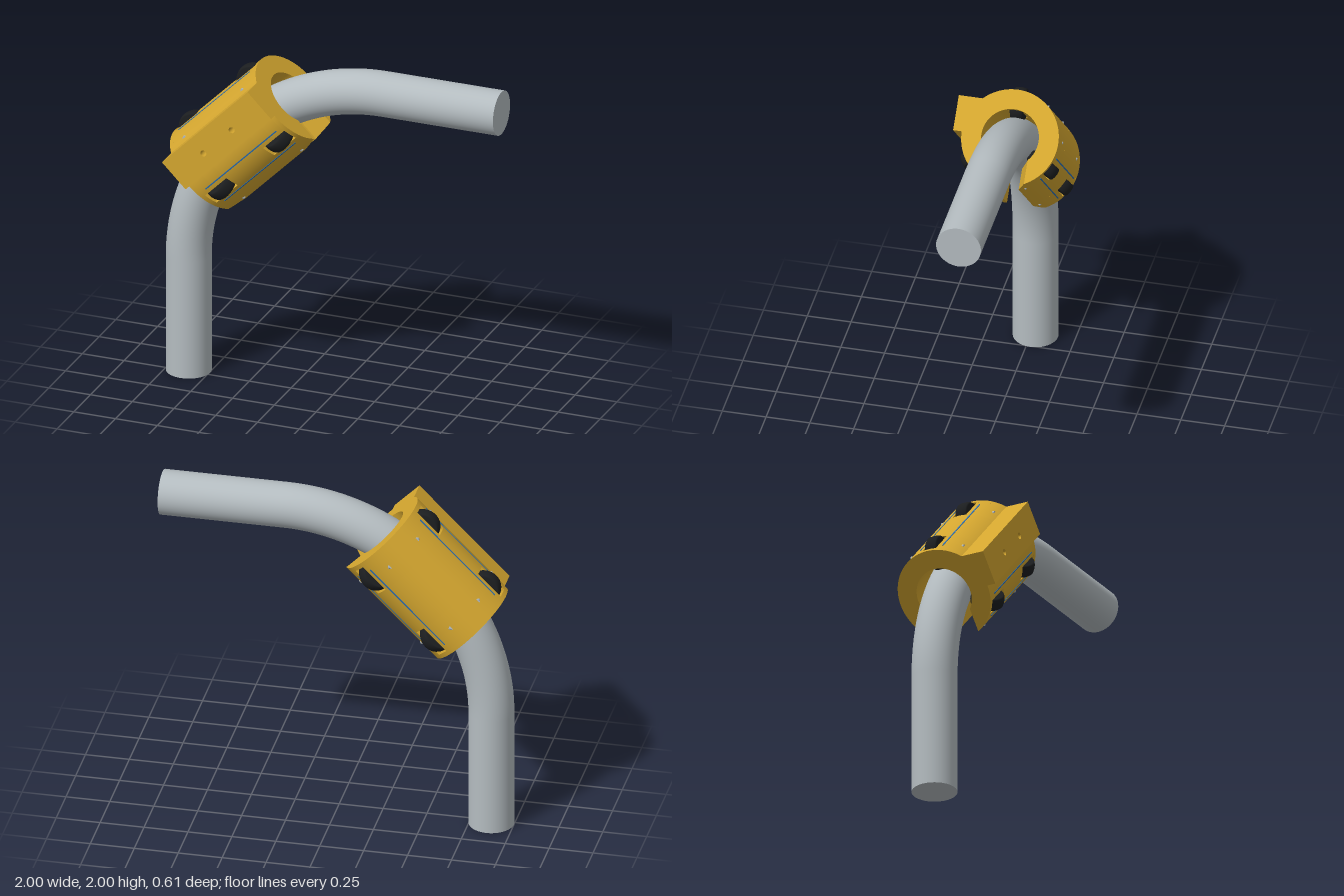
import * as THREE from 'three';

const mat = (name, color) => Object.assign(new THREE.MeshStandardMaterial({ color }), { name });

export function createModel() {
  const gold = mat('gold housing', 0xd4a62f);
  const steel = mat('grey steel', 0xb4bcc0);
  const rubber = mat('black rubber', 0x1c1e20);
  const blue = mat('blue line', 0x2a70b8);

  const model = new THREE.Group();
  const add = (parent, name, geo, material, x = 0, y = 0, z = 0) => {
    const mesh = new THREE.Mesh(geo, material);
    mesh.name = name;
    mesh.position.set(x, y, z);
    parent.add(mesh);
    return mesh;
  };

  // Bent pipe: upright run, quarter bend, level run
  const pipe = new THREE.Group();
  pipe.name = 'pipe';
  pipe.position.z = -0.025;
  model.add(pipe);
  const R = 0.128, BEND = 1.172;
  add(pipe, 'uprightPipe', new THREE.CylinderGeometry(R, R, 0.7, 48), steel, 0.3 - BEND, 0.35);
  add(pipe, 'pipeBend', new THREE.TorusGeometry(BEND, R, 48, 64, Math.PI / 2).rotateZ(Math.PI / 2), steel, 0.3, 0.7);
  add(pipe, 'levelPipe', new THREE.CylinderGeometry(R, R, 0.7, 48).rotateZ(Math.PI / 2), steel, 0.65, 0.7 + BEND);

  // Carriage frame: local x runs along the pipe, local y points out of the bend
  const carriage = new THREE.Group();
  carriage.name = 'carriage';
  carriage.position.set(-0.505, 1.505, -0.025);
  carriage.rotation.z = Math.PI / 4;
  model.add(carriage);

  const INNER = 0.163, OUTER = 0.275, HALF = 0.3625;
  const WINDOW = 0.042, THIRD = Math.PI * 2 / 3, WHEEL_X = 0.245;

  // Half width of the lengthwise slot, flared towards both ends
  const slotHalf = x => 0.075 + 0.045 * Math.max(0, (Math.abs(x) - 0.25) / (HALF - 0.25));

  // Curved wall piece between two edges; each edge is an angle with a parallel offset
  function wallPiece(x0, x1, [a0, off0], [a1, off1]) {
    const n = Math.max(6, Math.ceil((a1 - a0) / 0.06));
    const geo = new THREE.BoxGeometry(1, 1, 1, 1, 1, n);
    const p = geo.attributes.position;
    for (let i = 0; i < p.count; i++) {
      const x = x0 + (x1 - x0) * (p.getX(i) + 0.5);
      const r = INNER + (OUTER - INNER) * (p.getY(i) + 0.5);
      const from = a0 + Math.asin(off0(x) / r), to = a1 - Math.asin(off1(x) / r);
      const a = from + (to - from) * (p.getZ(i) + 0.5);
      p.setXYZ(i, x, r * Math.cos(a), r * Math.sin(a));
    }
    geo.computeVertexNormals();
    return geo;
  }

  // Housing shell in slabs, with three wheel windows in each half
  const win = () => WINDOW;
  const slotA = [-Math.PI, slotHalf], slotB = [Math.PI, slotHalf];
  const edges = [slotA, [-THIRD, win], [0, win], [THIRD, win], slotB];
  const cuts = [-HALF, -0.335, -0.25, -0.155, 0.155, 0.25, 0.335, HALF];
  for (let i = 0; i < cuts.length - 1; i++) {
    const mid = Math.abs(cuts[i] + cuts[i + 1]) / 2;
    const bounds = mid > 0.155 && mid < 0.335 ? edges : [slotA, slotB];
    for (let k = 0; k < bounds.length - 1; k++) {
      add(carriage, 'housingWall', wallPiece(cuts[i], cuts[i + 1], bounds[k], bounds[k + 1]), gold);
    }
  }

  // Mounting block with two bolt holes
  const face = new THREE.Shape([
    new THREE.Vector2(-HALF, 0), new THREE.Vector2(HALF, 0),
    new THREE.Vector2(HALF, 0.2), new THREE.Vector2(-HALF, 0.2)]);
  for (const x of [-0.12, 0.12]) {
    face.holes.push(new THREE.Path().absarc(x, 0.092, 0.018, 0, Math.PI * 2, true));
  }
  add(carriage, 'mountingBlock',
    new THREE.ExtrudeGeometry(face, { depth: 0.145, bevelEnabled: false, curveSegments: 16 }), gold, 0, 0, 0.18);

  // Wheels, axles and guide lines, repeated every third of a turn
  const tyre = new THREE.LatheGeometry([
    [0, -0.037], [0.084, -0.037], [0.091, -0.03], [0.095, -0.012],
    [0.095, 0.012], [0.091, 0.03], [0.084, 0.037], [0, 0.037]
  ].map(([r, y]) => new THREE.Vector2(r, y)), 40).rotateX(Math.PI / 2);
  const axle = new THREE.CylinderGeometry(0.013, 0.013, 0.336, 16).rotateX(Math.PI / 2);
  const line = new THREE.BoxGeometry(0.6, 0.005, 0.007);
  for (let k = 0; k < 3; k++) {
    const set = new THREE.Group();
    set.name = 'wheelSet';
    set.rotation.x = k * THIRD;
    carriage.add(set);
    for (const side of [-1, 1]) {
      add(set, 'wheel', tyre, rubber, side * WHEEL_X, 0.215, 0);
      add(set, 'axle', axle, steel, side * WHEEL_X, 0.215, 0);
      const a = side * 0.257;
      add(set, 'guideLine', line, blue, 0, 0.275 * Math.cos(a), 0.275 * Math.sin(a)).rotation.x = a;
    }
  }
  return model;
}
